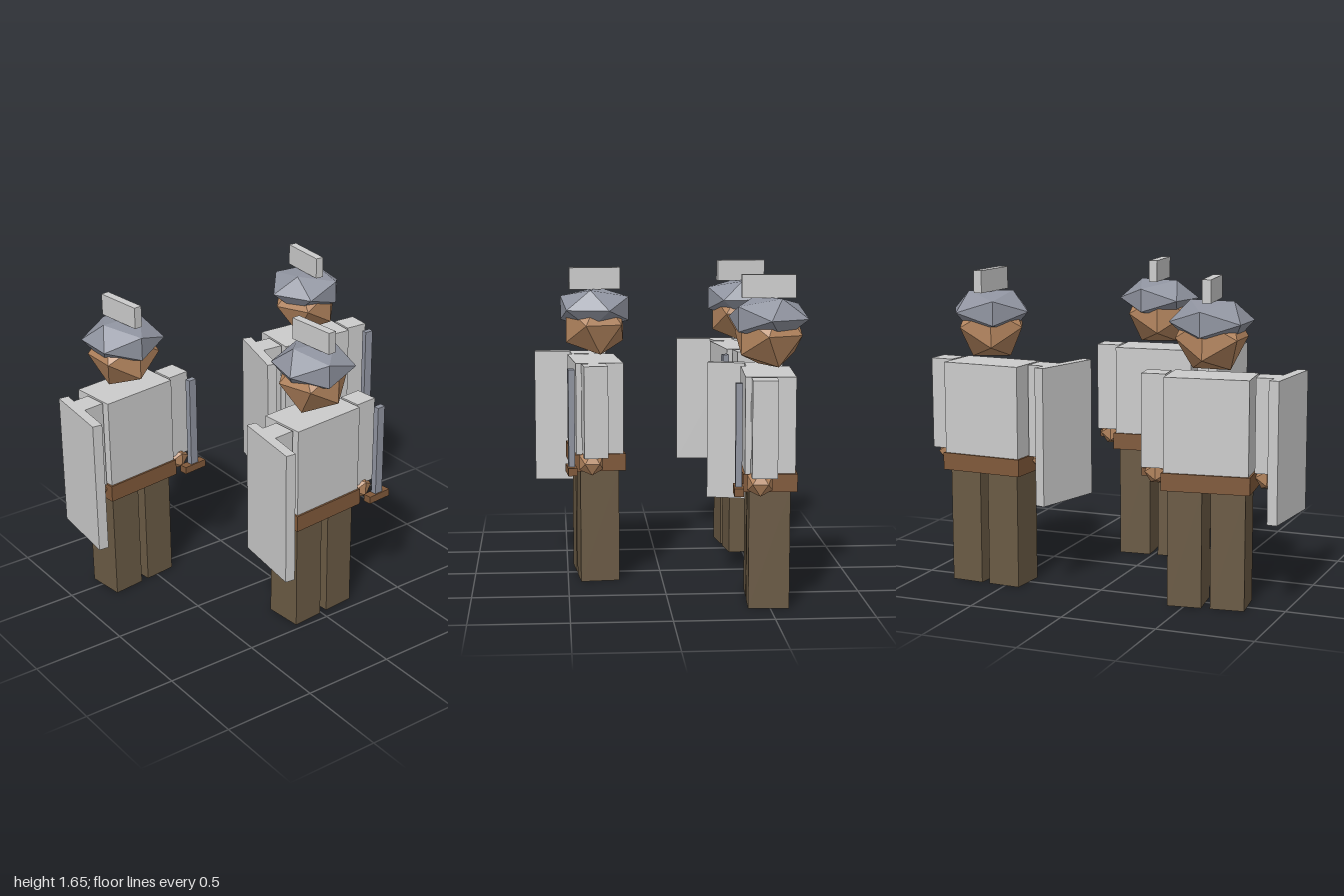
import * as THREE from 'three';

const mat = (color) => new THREE.MeshStandardMaterial({ color, flatShading: true });
const grey = mat(0xcccccc), steel = mat(0x9094a0), skin = mat(0xb5865f);
const leather = mat(0x80593a), cloth = mat(0x6a5a44);

function add(parent, name, geometry, material, x, y, z, turn = 0) {
  const mesh = new THREE.Mesh(geometry, material);
  mesh.name = name;
  mesh.position.set(x, y, z);
  mesh.rotation.y = turn;
  parent.add(mesh);
  return mesh;
}

// Box given by its bottom and top heights
const box = (parent, name, material, w, d, y0, y1, x = 0, z = 0, turn = 0) =>
  add(parent, name, new THREE.BoxGeometry(w, y1 - y0, d), material, x, (y0 + y1) / 2, z, turn);

function createSoldier(headTurn, helmetTurn) {
  const g = new THREE.Group();

  // Body
  box(g, 'torso', grey, 0.43, 0.25, 0.69, 1.17);
  box(g, 'belt', leather, 0.45, 0.27, 0.6, 0.69);
  for (const [side, s] of [['left', 1], ['right', -1]]) {
    box(g, side + 'Leg', cloth, 0.175, 0.205, 0, 0.6, s * 0.11);
    box(g, side + 'Arm', grey, 0.125, 0.125, 0.69, 1.17, s * 0.29, 0.035);
    add(g, side + 'Hand', new THREE.IcosahedronGeometry(0.073), skin, s * 0.285, 0.66, 0.055);
  }

  // Head, flattened helmet and crest
  add(g, 'head', new THREE.IcosahedronGeometry(0.187), skin, 0, 1.36, 0, headTurn);
  const helmet = new THREE.IcosahedronGeometry(0.217).scale(1, 0.55, 1);
  add(g, 'helmet', helmet, steel, 0, 1.44, 0, helmetTurn);
  box(g, 'crest', grey, 0.045, 0.27, 1.54, 1.655);

  // Shield on the right arm, sword in front of the left hand
  box(g, 'shield', grey, 0.053, 0.395, 0.45, 1.17, -0.37, 0.092, -0.205);
  box(g, 'swordGuard', leather, 0.142, 0.047, 0.61, 0.65, 0.322, 0.162);
  box(g, 'swordBlade', steel, 0.048, 0.032, 0.65, 1.155, 0.322, 0.162);
  return g;
}

export function createModel() {
  const model = new THREE.Group();
  model.name = 'soldiers';
  // x, z, heading, head turn, helmet turn
  const squad = [
    ['frontSoldier', 0.005, 0.348, 0.09, 0.2, -0.3],
    ['rightSoldier', -0.6, -0.5, 0.125, -0.1, -0.12],
    ['leftSoldier', 0.61, -0.503, -0.06, 0.5, 0.56],
  ];
  for (const [name, x, z, heading, headTurn, helmetTurn] of squad) {
    const soldier = createSoldier(headTurn, helmetTurn);
    soldier.name = name;
    soldier.position.set(x, 0, z);
    soldier.rotation.y = heading;
    model.add(soldier);
  }
  return model;
}
